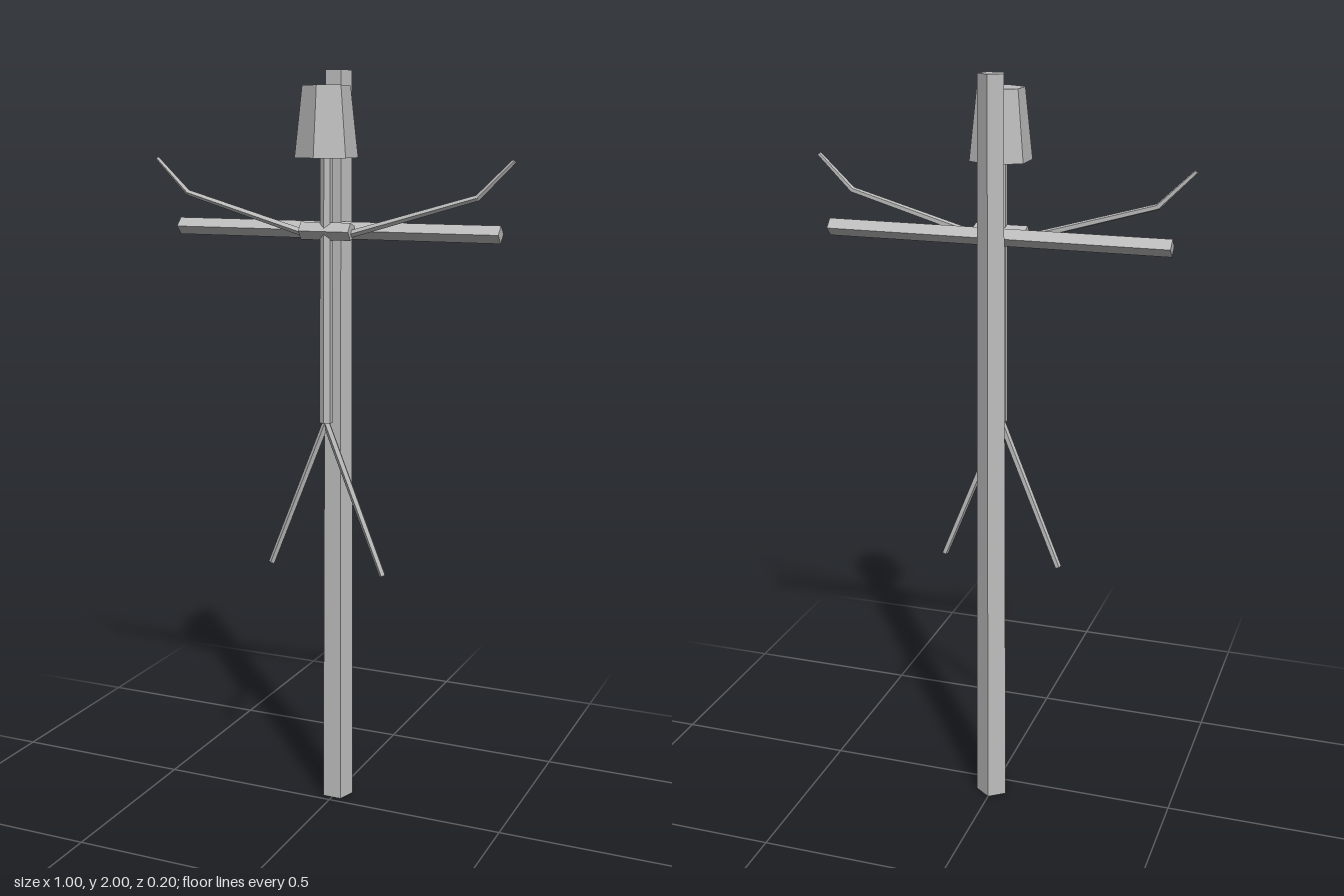
import * as THREE from 'three';

export function createModel() {
  const model = new THREE.Group();
  const grey = new THREE.MeshStandardMaterial({ color: 0xbebebe, flatShading: true });
  grey.name = 'plainGrey';

  // Faceted rod from a to b; spin turns the cross-section about its own axis
  function rod(name, a, b, r0, r1, sides, spin = 0) {
    const start = new THREE.Vector3(...a), end = new THREE.Vector3(...b);
    const dir = end.clone().sub(start);
    const geometry = new THREE.CylinderGeometry(r1, r0, dir.length(), sides);
    geometry.rotateY(spin);
    const mesh = new THREE.Mesh(geometry, grey);
    mesh.name = name;
    mesh.quaternion.setFromUnitVectors(new THREE.Vector3(0, 1, 0), dir.normalize());
    mesh.position.copy(start).add(end).multiplyScalar(0.5);
    model.add(mesh);
  }

  // Wooden frame: tapered post and crossbar
  rod('post', [0, 0, -0.055], [0, 2, -0.055], 0.045, 0.036, 5, Math.PI);
  rod('crossbar', [-0.455, 1.594, -0.029], [0.455, 1.594, -0.029], 0.0225, 0.0225, 4);

  // Figure hung in front of the post
  rod('head', [0, 1.78, 0.018], [0, 1.96, 0.018], 0.082, 0.062, 6);
  rod('torso', [0, 1.09, 0.02], [0, 1.8, 0.018], 0.018, 0.016, 6);
  rod('shoulders', [-0.07, 1.594, 0.017], [0.07, 1.594, 0.017], 0.024, 0.024, 5);

  // Mirrored limbs
  for (const [side, s] of [['left', 1], ['right', -1]]) {
    rod(side + 'UpperArm', [s * 0.05, 1.583, 0.013], [s * 0.408, 1.686, 0.014], 0.01, 0.008, 5);
    rod(side + 'Forearm', [s * 0.405, 1.684, 0.014], [s * 0.498, 1.775, 0.015], 0.008, 0.006, 5);
    rod(side + 'Leg', [0, 1.09, 0.019], [s * 0.164, 0.685, 0.019], 0.01, 0.009, 5);
  }
  return model;
}
